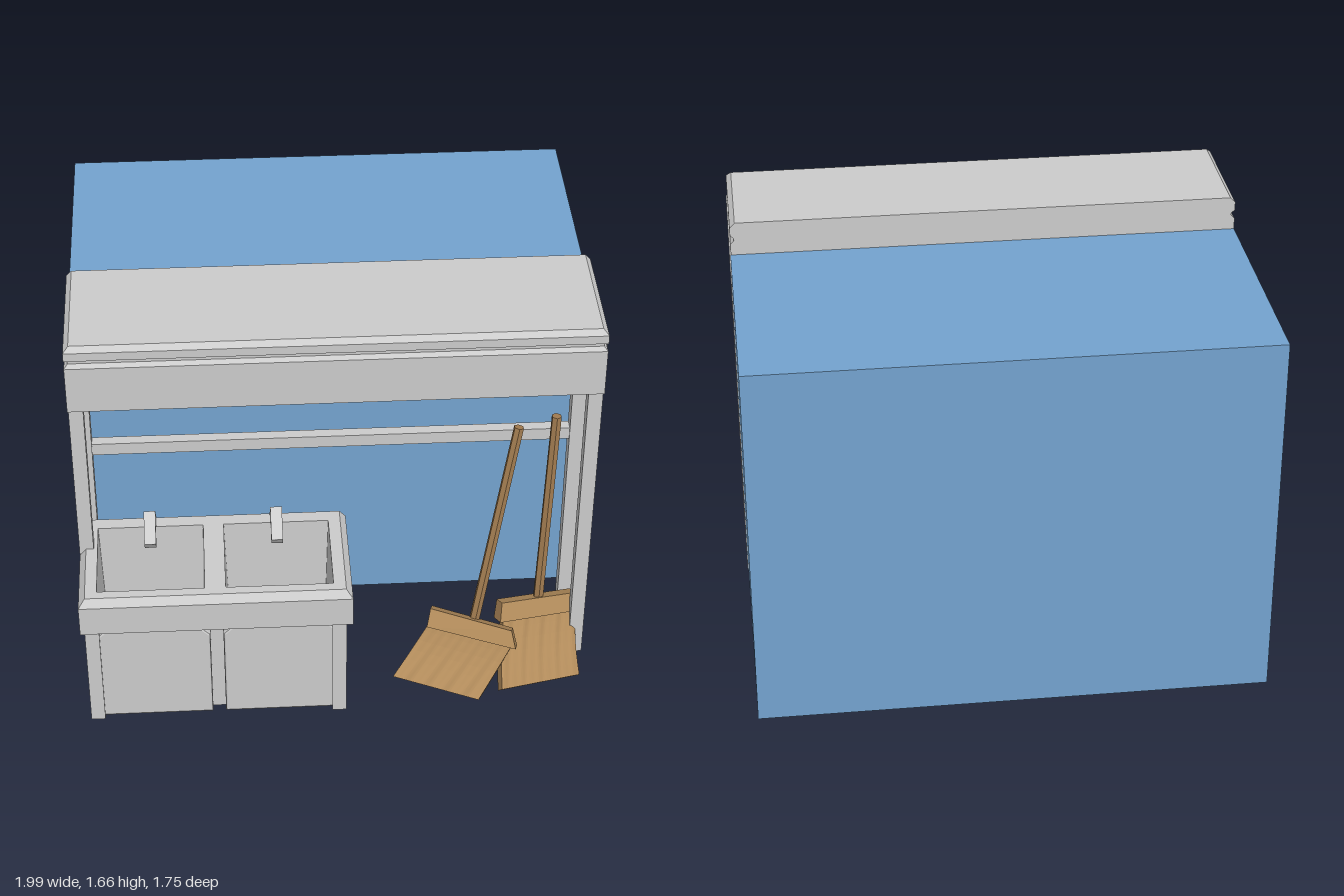
import * as THREE from 'three';

const mat = (color) => new THREE.MeshStandardMaterial({ color, flatShading: true, side: THREE.DoubleSide });
const V = (p) => new THREE.Vector3(...p);

export function createModel() {
  const model = new THREE.Group();
  const grey = mat(0xcccccc), blue = mat(0x74a3cf), wood = mat(0xa27c50), straw = mat(0xb08a5a);

  function add(name, geometry, material = grey, parent = model) {
    const mesh = new THREE.Mesh(geometry, material);
    mesh.name = name;
    parent.add(mesh);
    return mesh;
  }

  // Box given by its limits on each axis
  function box(name, x0, x1, y0, y1, z0, z1, material = grey, parent = model) {
    const g = new THREE.BoxGeometry(x1 - x0, y1 - y0, z1 - z0);
    g.translate((x0 + x1) / 2, (y0 + y1) / 2, (z0 + z1) / 2);
    return add(name, g, material, parent);
  }

  // Skin over closed rings, listed bottom to top, each counterclockwise from above
  function loft(rings, capBottom = true, capTop = true) {
    const pos = [];
    const tri = (...pts) => pts.forEach((p) => pos.push(p.x, p.y, p.z));
    const n = rings[0].length;
    for (let k = 0; k < rings.length - 1; k++) {
      for (let i = 0; i < n; i++) {
        const j = (i + 1) % n, a = rings[k], b = rings[k + 1];
        tri(a[i], a[j], b[j]);
        tri(a[i], b[j], b[i]);
      }
    }
    const cap = (ring, flip) => {
      const c = ring.reduce((s, p) => s.add(p), new THREE.Vector3()).divideScalar(n);
      for (let i = 0; i < n; i++) {
        const p = ring[i], q = ring[(i + 1) % n];
        flip ? tri(c, q, p) : tri(c, p, q);
      }
    };
    if (capBottom) cap(rings[0], true);
    if (capTop) cap(rings[rings.length - 1], false);
    const g = new THREE.BufferGeometry();
    g.setAttribute('position', new THREE.Float32BufferAttribute(pos, 3));
    g.computeVertexNormals();
    return g;
  }
  const rectRing = (y, x0, x1, z0, z1) =>
    [[x0, y, z1], [x1, y, z1], [x1, y, z0], [x0, y, z0]].map(V);

  // Large block behind the stall
  box('rearBlock', -1, 0.99, 0.03, 1.53, -0.875, 0.11, blue);

  // Canopy: deep fascia, groove, chamfered roof slab
  const canopy = [[1.38, 0], [1.575, 0], [1.59, 0.014], [1.6, 0.014], [1.61, 0], [1.645, 0], [1.665, 0.02]];
  add('canopy', loft(canopy.map(([y, d]) => rectRing(y, -1 + d, 0.988 - d, 0.11, 0.612 - d))));

  // Four posts and two back rails
  for (const x of [-1, 0.938]) {
    box('frontPost', x, x + 0.055, 0.03, 1.58, 0.51, 0.56);
    box('backPost', x, x + 0.055, 0.03, 1.4, 0.175, 0.23);
  }
  for (const y of [0.867, 1.095]) box('backRail', -0.95, 0.94, y, y + 0.053, 0.18, 0.225);

  // Double sink
  const sink = new THREE.Group();
  sink.name = 'sink';
  model.add(sink);
  const rect = (Type, x0, x1, z0, z1) => new Type([[x0, z0], [x1, z0], [x1, z1], [x0, z1]]
    .map(([x, z]) => new THREE.Vector2(x, -z)));
  const bowls = [[-0.93, -0.52], [-0.44, -0.03]];

  // Rim: chamfered outer wall, then flat faces pierced by the bowls
  add('sinkRim', loft([[0.51, 0], [0.64, 0], [0.67, 0.025]]
    .map(([y, d]) => rectRing(y, -1 + d, 0.042 - d, 0.38 + d * 0.2, 0.872 - d)), false, false), grey, sink);
  const topShape = rect(THREE.Shape, -0.975, 0.017, 0.385, 0.847);
  const underShape = rect(THREE.Shape, -1, 0.042, 0.38, 0.872);
  for (const [x0, x1] of bowls) {
    topShape.holes.push(rect(THREE.Path, x0, x1, 0.44, 0.81));
    underShape.holes.push(rect(THREE.Path, x0, x1, 0.44, 0.81));
  }
  add('sinkTop', new THREE.ShapeGeometry(topShape).rotateX(-Math.PI / 2).translate(0, 0.67, 0), grey, sink);
  add('sinkRimUnderside', new THREE.ShapeGeometry(underShape).rotateX(-Math.PI / 2).translate(0, 0.51, 0), grey, sink);

  for (const [x0, x1] of bowls) {
    // Bowl open at the top
    add('bowl', loft([rectRing(0.3, x0 + 0.01, x1 - 0.01, 0.45, 0.8), rectRing(0.67, x0, x1, 0.44, 0.81)], true, false), grey, sink);

    // Front panel with clipped top corners
    const c = (x0 + x1) / 2, w = 0.212, k = 0.03;
    const panel = new THREE.Shape([[-w, 0.045], [w, 0.045], [w, 0.475 - k], [w - k, 0.475], [-w + k, 0.475], [-w, 0.475 - k]]
      .map(([x, y]) => new THREE.Vector2(x, y)));
    const panelGeo = new THREE.ExtrudeGeometry(panel, {
      depth: 0.02, bevelThickness: 0.012, bevelSize: 0.008, bevelSegments: 2,
    });
    add('frontPanel', panelGeo.translate(c, 0, 0.8), grey, sink);

    // Bent spout
    const spout = new THREE.Shape([[0.385, 0.67], [0.44, 0.67], [0.49, 0.725], [0.565, 0.67], [0.592, 0.71], [0.485, 0.787]]
      .map(([z, y]) => new THREE.Vector2(-z, y)));
    const spoutGeo = new THREE.ExtrudeGeometry(spout, { depth: 0.045, bevelEnabled: false });
    add('spout', spoutGeo.rotateY(Math.PI / 2).translate(c - 0.0225, 0, 0), grey, sink);
  }

  // Hollow body under the rim, with front legs
  const body = rect(THREE.Shape, -0.98, 0.012, 0.385, 0.8);
  body.holes.push(rect(THREE.Path, -0.935, -0.03, 0.43, 0.77));
  const bodyGeo = new THREE.ExtrudeGeometry(body, { depth: 0.47, bevelEnabled: false });
  add('sinkBody', bodyGeo.rotateX(-Math.PI / 2).translate(0, 0.04, 0), grey, sink);
  for (const x of [-0.985, -0.035]) box('sinkLeg', x, x + 0.055, 0.03, 0.51, 0.78, 0.842, grey, sink);
  for (const x of [-0.985, -0.025]) box('sinkBackLeg', x, x + 0.045, 0.03, 0.51, 0.385, 0.435, grey, sink);

  // Thick band between a top edge and a bottom edge, with optional ripples and sag
  function band(top, bottom, halfTop, halfBottom, cols, rows, ripple = 0, sag = 0) {
    const [tl, tr] = top.map(V), [bl, br] = bottom.map(V);
    const normal = tr.clone().sub(tl).cross(tl.clone().sub(bl)).normalize();
    const rings = [];
    for (let r = 0; r <= rows; r++) {
      const v = 1 - r / rows, front = [], back = [];
      for (let i = 0; i <= cols; i++) {
        const u = i / cols;
        const p = tl.clone().lerp(tr, u).lerp(bl.clone().lerp(br, u), v);
        p.addScaledVector(normal, -sag * Math.sin(Math.PI * v));
        const wave = ripple * Math.sin(u * Math.PI * 9 + v * 1.5);
        const half = halfTop + (halfBottom - halfTop) * v;
        front.push(p.clone().addScaledVector(normal, half + wave));
        back.unshift(p.clone().addScaledVector(normal, -half + wave));
      }
      rings.push([...front, ...back]);
    }
    return loft(rings);
  }

  // Brooms: handle, head block and flared bristles
  function broom(name, { foot, tip, blockTop, blockBottom, root, ends }) {
    const g = new THREE.Group();
    g.name = name;
    model.add(g);
    const a = V(foot), b = V(tip), dir = b.clone().sub(a);
    const handle = add('handle', new THREE.CylinderGeometry(0.02, 0.021, dir.length(), 6), wood, g);
    handle.position.copy(a).lerp(b, 0.5);
    handle.quaternion.setFromUnitVectors(new THREE.Vector3(0, 1, 0), dir.normalize());
    add('headBlock', band(blockTop, blockBottom, 0.03, 0.037, 1, 1), straw, g);
    add('bristles', band(root, ends, 0.022, 0.026, 36, 6, 0.005, 0.02), straw, g);
  }
  broom('leftLeaningBroom', {
    foot: [0.545, 0.26, 0.595], tip: [0.697, 1.13, 0.475],
    blockTop: [[0.375, 0.3, 0.56], [0.69, 0.255, 0.66]],
    blockBottom: [[0.36, 0.235, 0.595], [0.705, 0.19, 0.695]],
    root: [[0.37, 0.245, 0.585], [0.69, 0.2, 0.69]],
    ends: [[0.215, 0.08, 0.72], [0.545, 0.045, 0.835]],
  });
  broom('uprightBroom', {
    foot: [0.81, 0.26, 0.505], tip: [0.845, 1.15, 0.44],
    blockTop: [[0.65, 0.3, 0.54], [0.955, 0.275, 0.465]],
    blockBottom: [[0.64, 0.23, 0.575], [0.98, 0.205, 0.49]],
    root: [[0.66, 0.235, 0.565], [0.96, 0.21, 0.49]],
    ends: [[0.635, 0.045, 0.785], [0.96, 0.025, 0.695]],
  });

  return model;
}
